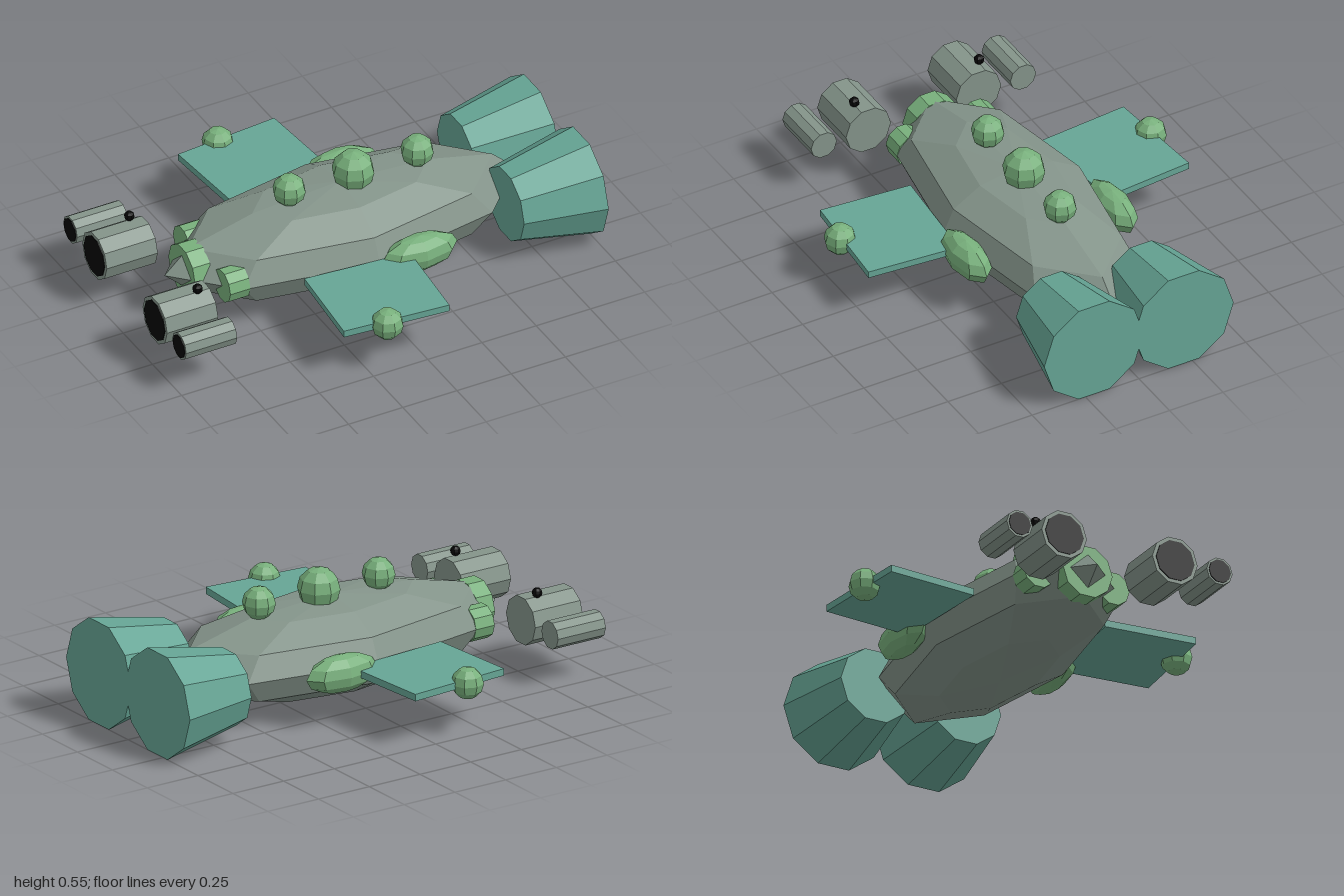
import * as THREE from 'three';

const AXIS_Y = 0.225; // height of the long axis
const material = (color) => new THREE.MeshStandardMaterial({ color, flatShading: true });

export function createModel() {
  const model = new THREE.Group();
  model.name = 'spacecraft';
  const hull = material(0x84948a);
  const teal = material(0x66a595);
  const green = material(0x78b07c);
  const black = material(0x050505);

  const add = (name, geometry, mat, x, y, z) => {
    const mesh = new THREE.Mesh(geometry, mat);
    mesh.name = name;
    mesh.position.set(x, y, z);
    model.add(mesh);
    return mesh;
  };
  // Faceted ball, optionally stretched
  const ball = (name, mat, rx, x, y, z, ry = rx, rz = rx) =>
    add(name, new THREE.SphereGeometry(1, 8, 6).scale(rx, ry, rz), mat, x, y, z);
  // Ten-sided drum lying along x from x0 to x1
  const drum = (name, mat, r0, r1, x0, x1, z) =>
    add(name, new THREE.CylinderGeometry(r1, r0, x1 - x0, 10).rotateZ(-Math.PI / 2),
      mat, (x0 + x1) / 2, AXIS_Y, z);

  // Body
  ball('body', hull, 0.81, 0, AXIS_Y, 0, 0.2, 0.34);

  // Domes along the top
  for (const [x, r] of [[-0.235, 0.07], [0.06, 0.09], [0.355, 0.07]]) {
    ball('topDome', green, r, x, 0.46, 0);
  }

  // Nose collar
  drum('noseCollar', green, 0.115, 0.115, -0.73, -0.65, 0);

  for (const side of [-1, 1]) {
    const label = side > 0 ? 'front' : 'back';

    // Rear thruster, flaring aft
    drum(label + 'Thruster', teal, 0.163, 0.233, 0.648, 1, side * 0.21);

    // Wing plate, slightly swept, with a ball near its tip
    const wing = add(label + 'Wing', new THREE.BoxGeometry(0.467, 0.03, 0.405), teal,
      -0.115, AXIS_Y, side * 0.528);
    wing.rotation.y = -side * 0.086;
    ball(label + 'WingBall', green, 0.068, -0.173, AXIS_Y, side * 0.726);

    // Bulge on the flank and drum beside the nose
    ball(label + 'FlankPod', green, 0.173, 0.183, AXIS_Y, side * 0.342, 0.08, 0.074);
    drum(label + 'NoseDrum', green, 0.073, 0.073, -0.638, -0.546, side * 0.173);

    // Pair of barrels with dark muzzles
    for (const [name, r, z] of [['LargeBarrel', 0.105, 0.258], ['SmallBarrel', 0.06, 0.466]]) {
      drum(label + name, hull, r, r, -0.993, -0.758, side * z);
      drum(label + name + 'Muzzle', black, r * 0.85, r * 0.85, -0.996, -0.98, side * z);
    }

    // Sight bead above the large barrel
    ball(label + 'SightBead', black, 0.022, -0.815, 0.343, side * 0.292);
  }
  return model;
}
